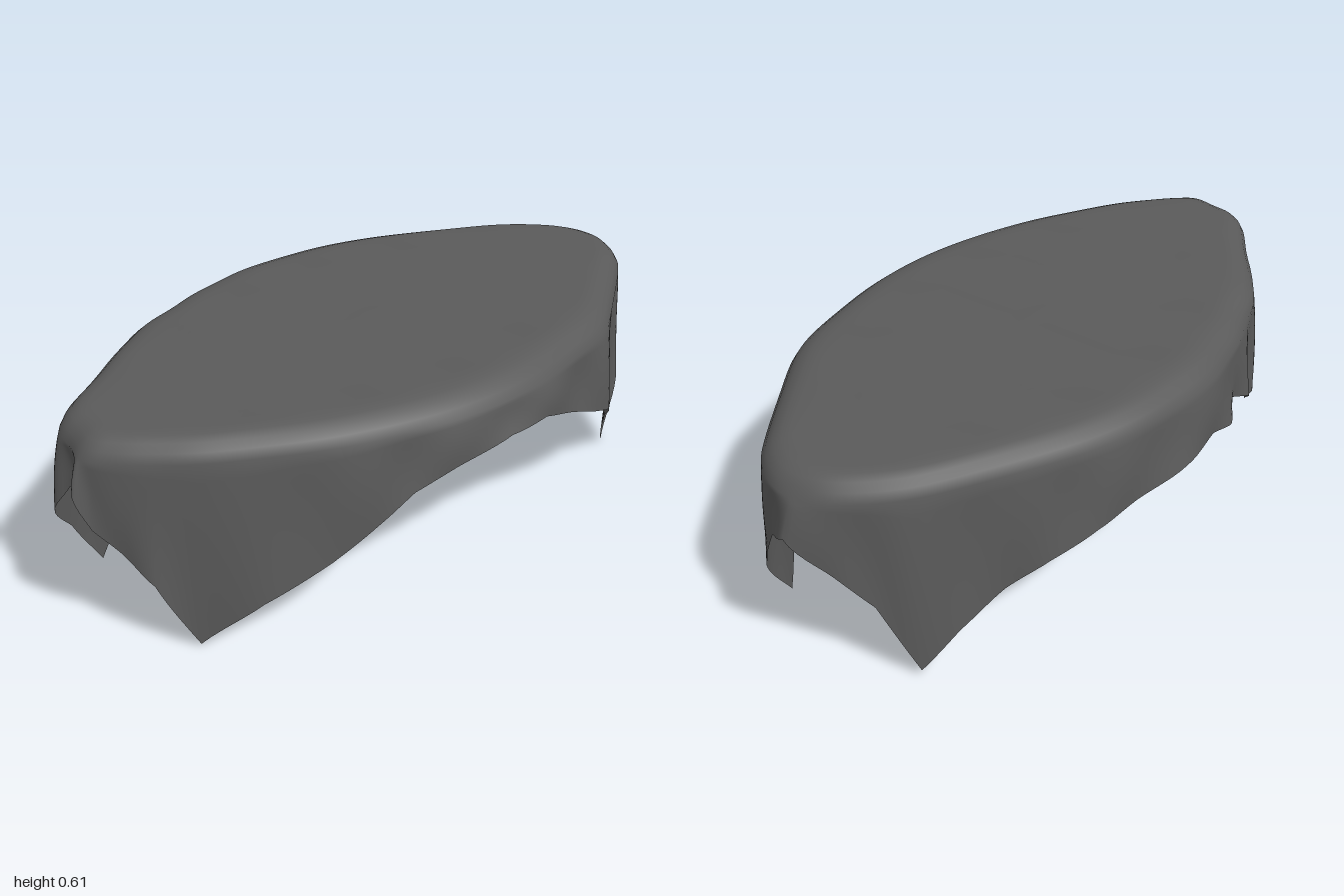
import * as THREE from 'three';

// Hem of the cloth, from the front centre round by +x: [x, y, z]
const HEM = [
  [0, .44, .95], [.045, .46, 1], [.07, .36, .97], [.12, .29, .92], [.19, .21, .88], [.24, .01, .79],
  [.345, .13, .66], [.42, .22, .5], [.47, .31, .38], [.5, .38, .29], [.53, .42, .17], [.56, .46, 0],
  [.545, .45, -.15], [.51, .39, -.3], [.485, .33, -.43], [.46, .29, -.53], [.38, .2, -.62], [.26, 0, -.77],
  [.215, .17, -.88], [.15, .29, -.925], [.08, .4, -.96], [0, .45, -1], [-.1, .34, -.94], [-.17, .24, -.88],
  [-.245, .02, -.81], [-.3, .12, -.72], [-.35, .2, -.6], [-.42, .26, -.5], [-.48, .31, -.38], [-.51, .34, -.25],
  [-.555, .37, -.08], [-.54, .38, .08], [-.53, .34, .2], [-.485, .37, .28], [-.475, .31, .4], [-.41, .22, .5],
  [-.385, .19, .6], [-.31, .1, .67], [-.22, .03, .79], [-.165, .22, .9], [-.11, .33, .97], [-.05, .42, .95],
];
const STEPS = 6;            // samples between hem points
const N = HEM.length * STEPS;
const TOP = .605;

// Smooth plan of the hem with straight-cut edges between its points
function sampleHem() {
  const plan = new THREE.CatmullRomCurve3(HEM.map(([x, , z]) => new THREE.Vector3(x, 0, z)), true);
  return Array.from({ length: N }, (_, i) => {
    const k = Math.floor(i / STEPS), p = plan.getPoint(i / N);
    p.y = THREE.MathUtils.lerp(HEM[k][1], HEM[(k + 1) % HEM.length][1], (i % STEPS) / STEPS);
    return p;
  });
}

// Plan of the table beneath: the hem plan with its folds averaged out
function smoothPlan(hem) {
  const w = 8;
  return hem.map((_, i) => {
    const p = new THREE.Vector3();
    for (let j = -w; j <= w; j++) p.add(hem[(i + j + N) % N]);
    return p.divideScalar(2 * w + 1);
  });
}

function clothGeometry() {
  const hem = sampleHem(), plan = smoothPlan(hem);
  const inset = (p, k, y) => new THREE.Vector3(p.x * (1 - .2 * k), y, p.z * (1 - .1 * k));
  const rings = [];

  // Flat top with faint ripples across it
  for (let r = 1; r <= 16; r++) {
    const s = r / 16, fade = Math.min(1, (1 - s) * 4);
    rings.push(plan.map(p => {
      const q = inset(p, 1, TOP);
      q.x *= s;
      q.z *= s;
      q.y += .003 * fade * Math.cos((q.z - .17) * Math.PI * 2 / .28);
      return q;
    }));
  }
  // Rounded rim
  for (const [k, y] of [[.72, .602], [.46, .592], [.25, .574], [.1, .55]]) {
    rings.push(plan.map(p => inset(p, k, y)));
  }
  // Hanging skirt, its folds growing towards the hem
  const rim = rings[rings.length - 1];
  for (let r = 1; r <= 10; r++) {
    const t = r / 10;
    rings.push(hem.map((h, i) => {
      const q = rim[i].clone().lerp(h, Math.pow(t, .75));
      q.y = THREE.MathUtils.lerp(rim[i].y, h.y, t);
      const fold = 1 + .012 * Math.sin(Math.PI * t) * Math.sin(i * Math.PI * 2 / 14);
      q.x *= fold;
      q.z *= THREE.MathUtils.lerp(1, fold, .4);
      return q;
    }));
  }

  const pos = [0, TOP, 0], idx = [];
  rings.forEach(ring => ring.forEach(p => pos.push(p.x, p.y, p.z)));
  for (let i = 0; i < N; i++) {
    const n = (i + 1) % N;
    idx.push(0, 1 + i, 1 + n);
    for (let r = 0; r < rings.length - 1; r++) {
      const a = 1 + r * N, b = a + N;
      idx.push(a + i, b + i, b + n, a + i, b + n, a + n);
    }
  }
  const g = new THREE.BufferGeometry();
  g.setAttribute('position', new THREE.Float32BufferAttribute(pos, 3));
  g.setIndex(idx);
  g.computeVertexNormals();
  return g;
}

export function createModel() {
  const group = new THREE.Group();
  group.name = 'drapedTablecloth';
  const fabric = new THREE.MeshStandardMaterial({ color: 0x5a5a5a, side: THREE.DoubleSide });
  fabric.name = 'greyFabric';
  const cloth = new THREE.Mesh(clothGeometry(), fabric);
  cloth.name = 'cloth';
  group.add(cloth);
  return group;
}
